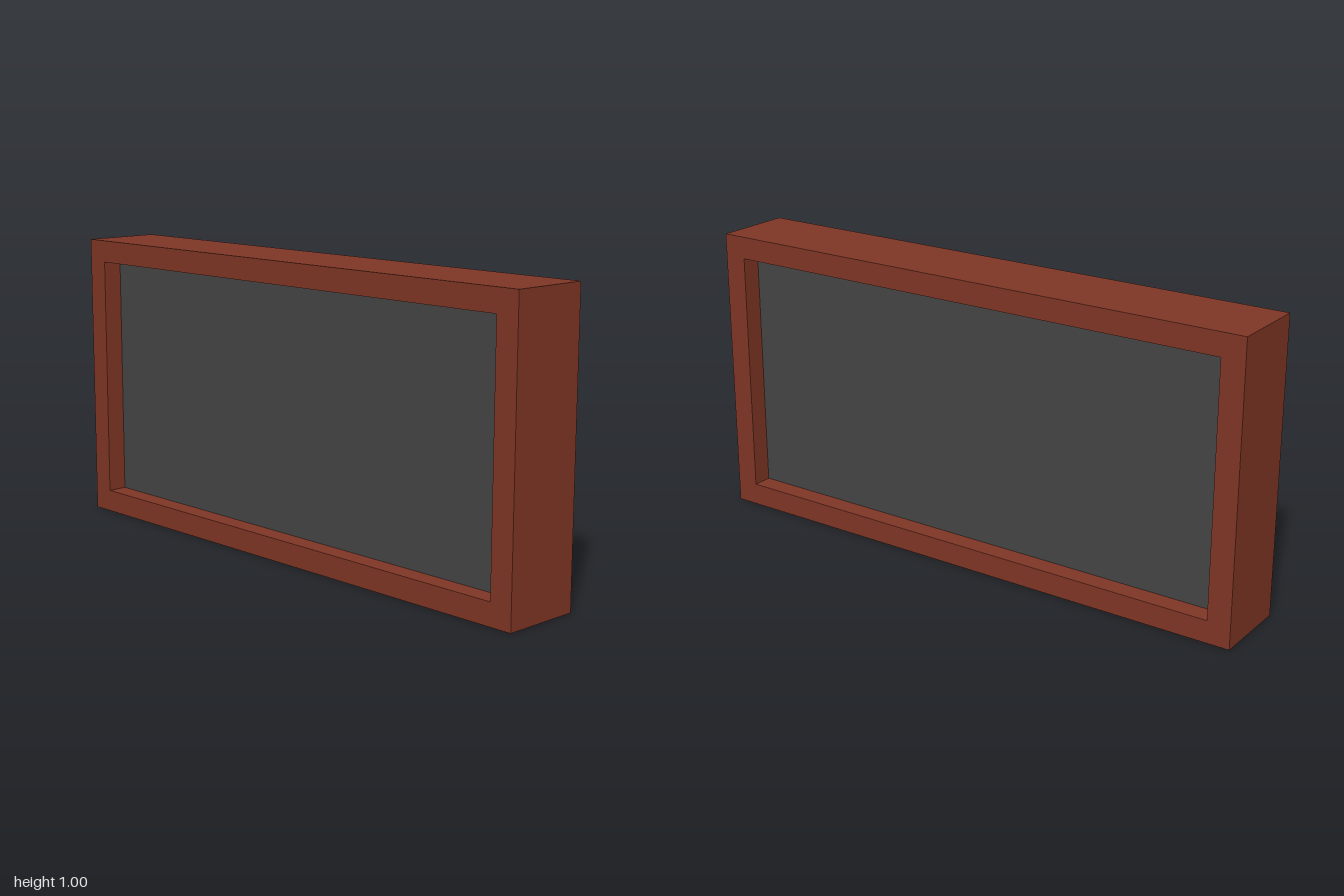
import * as THREE from 'three';

const frameMaterial = new THREE.MeshStandardMaterial({ color: 0x7e3524 });
frameMaterial.name = 'reddish brown frame';
const panelMaterial = new THREE.MeshStandardMaterial({ color: 0x444444 });
panelMaterial.name = 'dark grey panel';

const DEPTH = 0.278;       // thickness along x
const PANEL_DEPTH = 0.14;  // panel is recessed equally on both sides
const LENGTH = 2;
const HEIGHT = 1;
const BORDER = 0.08;

// Adds a closed rectangle to a Shape or Path
function rectangle(path, x0, y0, x1, y1) {
  path.moveTo(x0, y0);
  path.lineTo(x1, y0);
  path.lineTo(x1, y1);
  path.lineTo(x0, y1);
  path.closePath();
  return path;
}

export function createModel() {
  const group = new THREE.Group();
  group.name = 'framedPanel';

  const half = LENGTH / 2;
  const innerHalf = half - BORDER;
  const innerBottom = 0.077;
  const innerTop = HEIGHT - 0.077;

  // Rectangular frame, open in the middle, extruded along x
  const outline = rectangle(new THREE.Shape(), -half, 0, half, HEIGHT);
  outline.holes.push(rectangle(new THREE.Path(), -innerHalf, innerBottom, innerHalf, innerTop));
  const frameGeometry = new THREE.ExtrudeGeometry(outline, { depth: DEPTH, bevelEnabled: false });
  frameGeometry.translate(0, 0, -DEPTH / 2);
  frameGeometry.rotateY(Math.PI / 2);
  const frame = new THREE.Mesh(frameGeometry, frameMaterial);
  frame.name = 'frame';
  group.add(frame);

  // Recessed panel filling the opening
  const panel = new THREE.Mesh(
    new THREE.BoxGeometry(PANEL_DEPTH, innerTop - innerBottom, innerHalf * 2),
    panelMaterial
  );
  panel.name = 'panel';
  panel.position.y = (innerBottom + innerTop) / 2;
  group.add(panel);

  return group;
}
